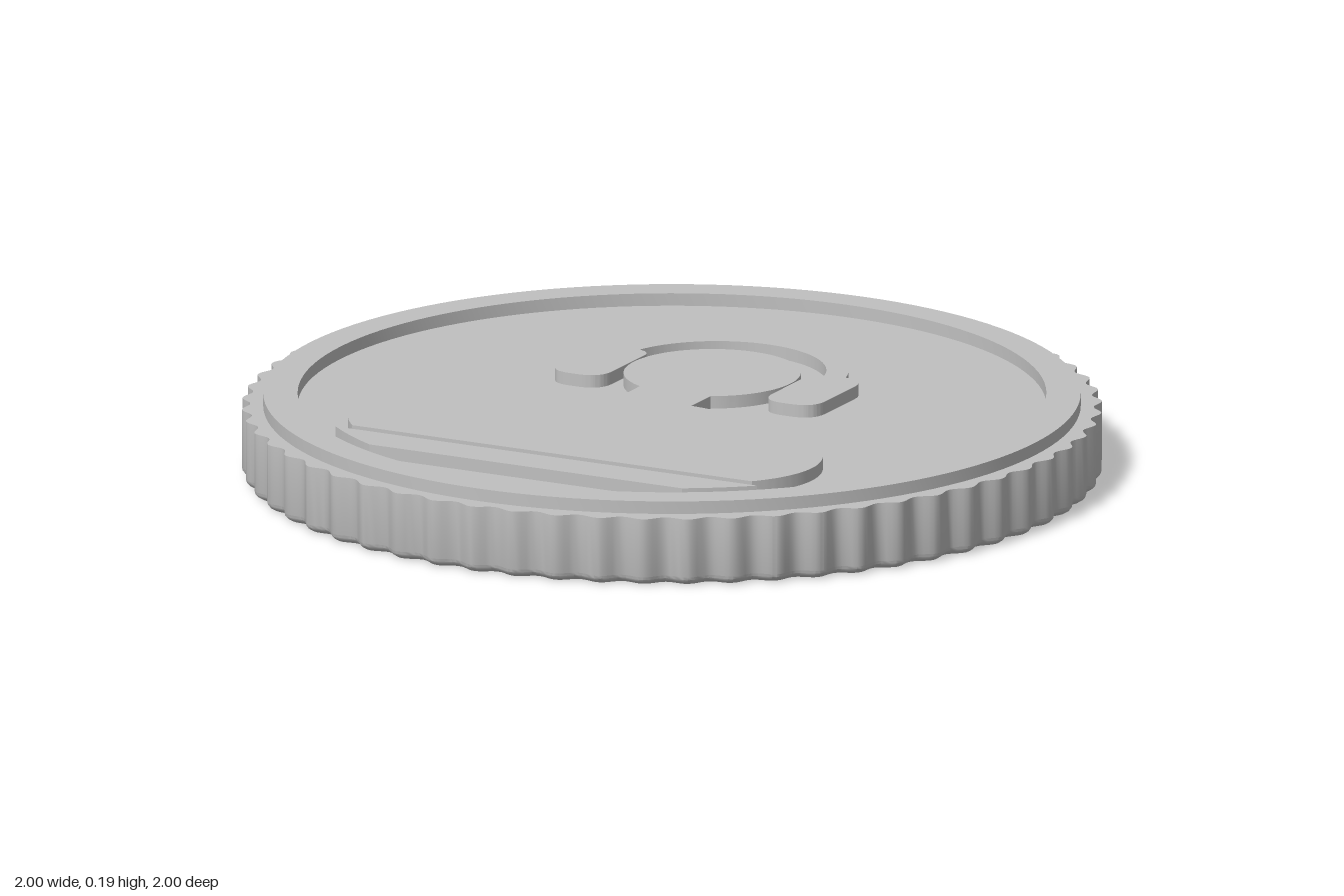
import * as THREE from 'three';
import { toCreasedNormals } from 'three/addons/utils/BufferGeometryUtils.js';

const FLOOR = 0.16, TOP = 0.19;
const RIDGES = 60;

export function createModel() {
  const coin = new THREE.Group();
  coin.name = 'coin';
  const metal = new THREE.MeshStandardMaterial({ color: 0xc0c0c0 });
  metal.name = 'grey metal';

  const add = (name, geometry) => {
    const mesh = new THREE.Mesh(toCreasedNormals(geometry, 0.5), metal);
    mesh.name = name;
    coin.add(mesh);
  };
  const lathe = (points, segments) =>
    new THREE.LatheGeometry(points.map(([r, y]) => new THREE.Vector2(r, y)), segments);
  // Raised relief: shape y points to the back of the coin
  const relief = (name, shape) => {
    const g = new THREE.ExtrudeGeometry(shape, {
      depth: TOP - FLOOR + 0.01, bevelEnabled: false, curveSegments: 48,
    });
    g.rotateX(-Math.PI / 2).translate(0, FLOOR - 0.01, 0);
    add(name, g);
  };

  // Disc with a rippled edge and a small bottom bevel
  const body = lathe([[0, 0], [0.982, 0], [0.992, 0.006], [0.998, 0.013], [1, 0.02], [1, FLOOR], [0, FLOOR]], RIDGES * 10);
  const p = body.attributes.position;
  for (let i = 0; i < p.count; i++) {
    const x = p.getX(i), z = p.getZ(i), r = Math.hypot(x, z);
    if (r < 0.5) continue;
    const k = (r - 0.01 * (1 - Math.cos(RIDGES * Math.atan2(z, x)))) / r;
    p.setX(i, x * k);
    p.setZ(i, z * k);
  }
  add('ridgedDisc', body);

  // Raised border
  add('rim', lathe([[0.95, FLOOR], [0.95, TOP], [0.87, TOP], [0.87, FLOOR]], 128));

  // Head, neck and shoulders in one outline
  const person = new THREE.Shape();
  const neck = 0.093, headR = 0.206, headY = 0.2;
  const headA = Math.acos(neck / headR);
  const rx = 0.595, ry = 0.355, bodyY = -0.43;
  const neckA = Math.acos(neck / rx), baseA = Math.asin(0.167 / ry);
  person.absarc(0, headY, headR, -headA, Math.PI + headA, false);
  person.absellipse(0, bodyY, rx, ry, Math.PI - neckA, Math.PI + baseA, false);
  person.absellipse(0, bodyY, rx, ry, -baseA, neckA, false);
  person.closePath();
  relief('personFigure', person);

  // Strip below the shoulders with ends following the rim
  const strip = new THREE.Shape();
  const a1 = Math.asin(0.625 / 0.835), a2 = Math.asin(0.727 / 0.835);
  strip.absarc(0, 0, 0.835, Math.PI + a1, Math.PI + a2, false);
  strip.absarc(0, 0, 0.835, -a2, -a1, false);
  strip.closePath();
  relief('lowerStrip', strip);

  // Headset: band and two ear cups in one outline
  const headset = new THREE.Shape();
  const bandY = 0.224, a = 0.27, b = 0.3, c = 0.06;
  const inX = 0.21, outX = 0.35, topY = 0.305, lowY = 0.042;
  headset.absarc(0, bandY, 0.306, a, Math.PI - a, false);
  headset.quadraticCurveTo(-outX, topY - 0.005, -outX, topY - c);
  headset.lineTo(-outX, lowY + c);
  headset.quadraticCurveTo(-outX, lowY, -outX + c, lowY);
  headset.lineTo(-inX - c, lowY);
  headset.quadraticCurveTo(-inX, lowY, -inX, lowY + c);
  headset.lineTo(-inX, topY - 0.045);
  headset.quadraticCurveTo(-inX, topY - 0.015, -0.254 * Math.cos(b), bandY + 0.254 * Math.sin(b));
  headset.absarc(0, bandY, 0.254, Math.PI - b, b, true);
  headset.quadraticCurveTo(inX, topY - 0.015, inX, topY - 0.045);
  headset.lineTo(inX, lowY + c);
  headset.quadraticCurveTo(inX, lowY, inX + c, lowY);
  headset.lineTo(outX - c, lowY);
  headset.quadraticCurveTo(outX, lowY, outX, lowY + c);
  headset.lineTo(outX, topY - c);
  headset.quadraticCurveTo(outX, topY - 0.005, 0.306 * Math.cos(a), bandY + 0.306 * Math.sin(a));
  relief('headset', headset);

  return coin;
}
